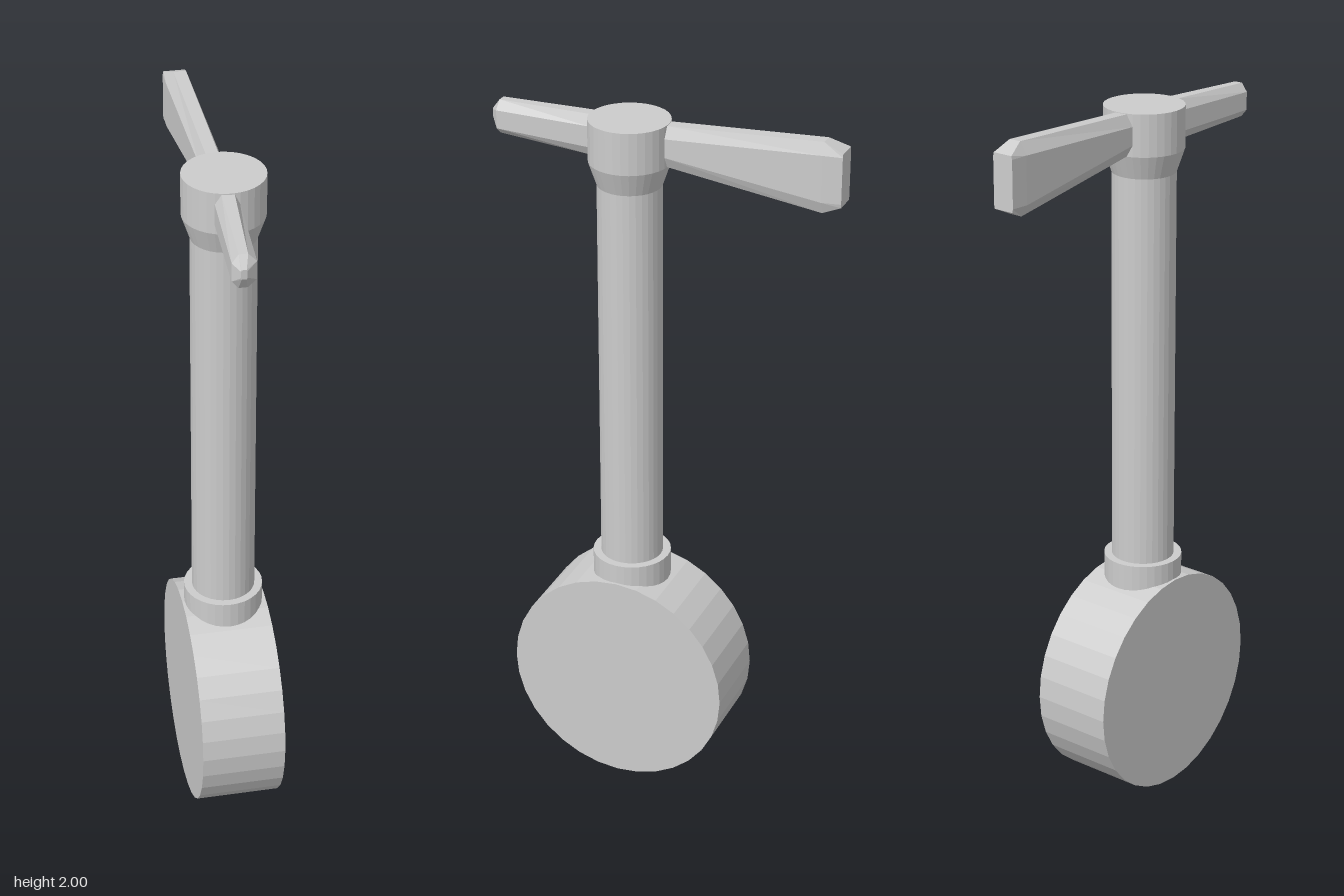
import * as THREE from 'three';

// Skin a row of closed eight-sided sections along z and cap both ends
function loft(sections) {
  const pos = [], idx = [], n = sections[0].length;
  sections.forEach(s => s.forEach(p => pos.push(...p)));
  for (let i = 0; i < sections.length - 1; i++) {
    for (let j = 0; j < n; j++) {
      const a = i * n + j, b = i * n + (j + 1) % n;
      idx.push(a, b, b + n, a, b + n, a + n);
    }
  }
  const end = (sections.length - 1) * n;
  for (let j = 1; j < n - 1; j++) {
    idx.push(0, j + 1, j, end, end + j, end + j + 1);
  }
  const g = new THREE.BufferGeometry();
  g.setAttribute('position', new THREE.Float32BufferAttribute(pos, 3));
  g.setIndex(idx);
  const flat = g.toNonIndexed();
  flat.computeVertexNormals();
  return flat;
}

// Chamfered section: outer and inner x limits, then the four heights, counter-clockwise from +z
function section([z, xl, il, ir, xr, top, hi, lo, bottom]) {
  return [
    [ir, top, z], [il, top, z], [xl, hi, z], [xl, lo, z],
    [il, bottom, z], [ir, bottom, z], [xr, lo, z], [xr, hi, z],
  ];
}

export function createModel() {
  const model = new THREE.Group();
  const grey = new THREE.MeshStandardMaterial({ color: 0xcccccc });
  grey.name = 'light grey';
  grey.flatShading = true;
  const axisZ = 0.091;

  const add = (name, geometry) => {
    const mesh = new THREE.Mesh(geometry, grey);
    mesh.name = name;
    model.add(mesh);
    return mesh;
  };

  // Round weight lying on its edge
  const disc = add('disc', new THREE.CylinderGeometry(0.317, 0.317, 0.232, 32));
  disc.rotation.z = Math.PI / 2;
  disc.position.set(0, 0.317, axisZ);

  // Collar, shaft and flared head turned in one piece
  const profile = [
    [0, 0.58], [0.109, 0.58], [0.109, 0.69], [0.087, 0.69],
    [0.087, 1.8], [0.109, 1.865], [0.109, 1.98], [0, 1.98],
  ].map(([r, y]) => new THREE.Vector2(r, y));
  add('shaft', new THREE.LatheGeometry(profile, 32)).position.z = axisZ;

  // Cross blade through the head: broad at the back, pointed at the front
  add('crossBlade', loft([
    [-0.493, -0.054, -0.052, 0.006, 0.008, 1.977, 1.968, 1.842, 1.832],
    [-0.44, -0.054, -0.034, 0.0, 0.012, 2.0, 1.967, 1.84, 1.807],
    [-0.01, -0.042, -0.026, 0.007, 0.021, 1.978, 1.946, 1.896, 1.866],
    [0.195, -0.042, -0.026, 0.007, 0.021, 1.977, 1.948, 1.89, 1.864],
    [0.47, -0.054, -0.037, -0.014, 0.008, 1.968, 1.945, 1.895, 1.875],
    [0.494, -0.036, -0.034, -0.022, -0.02, 1.938, 1.934, 1.916, 1.912],
  ].map(section)));

  return model;
}
